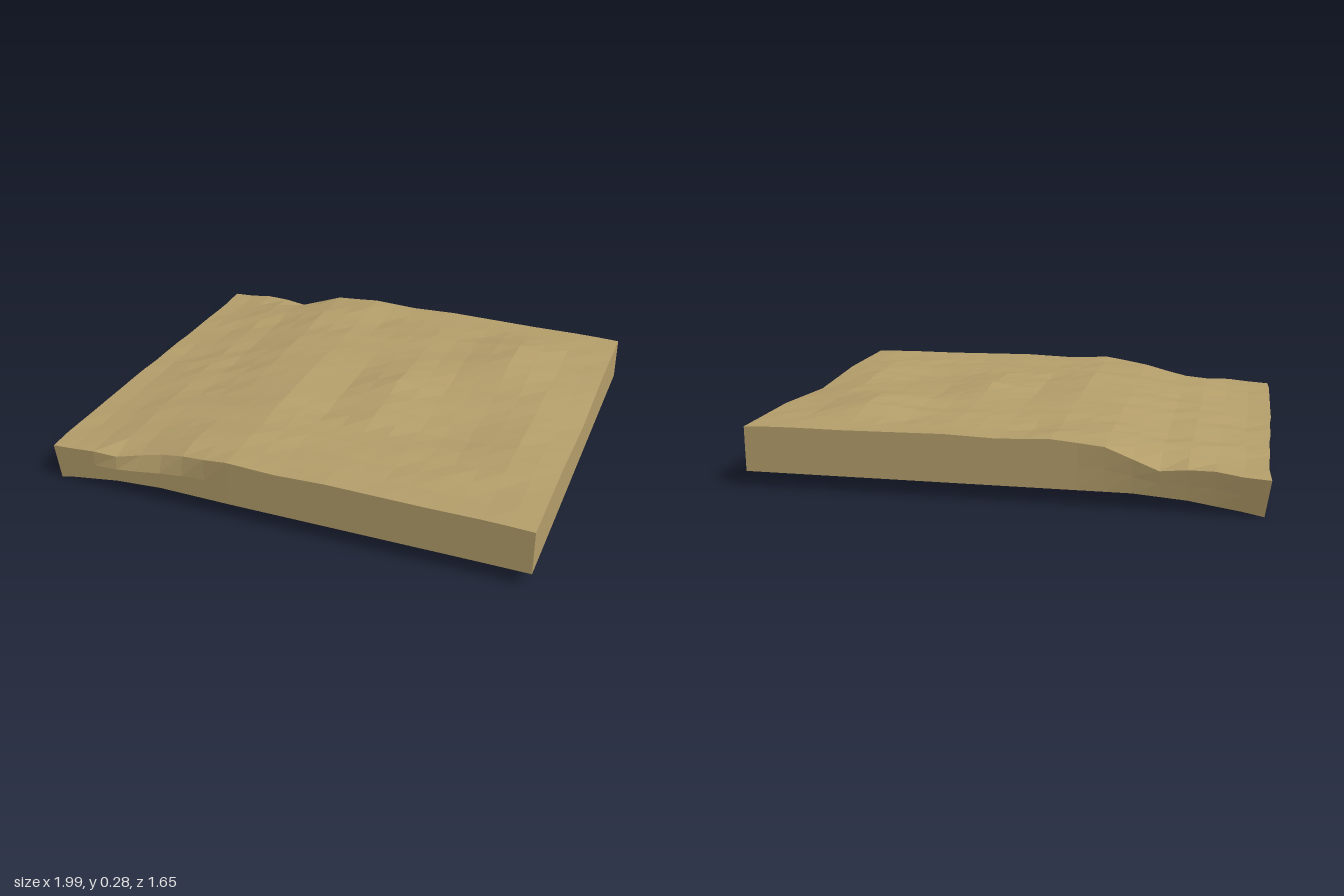
import * as THREE from 'three';

// Piecewise linear lookup through [position, value] pairs
function along(points, t) {
  if (t <= points[0][0]) return points[0][1];
  for (let i = 1; i < points.length; i++) {
    const [a, va] = points[i - 1], [b, vb] = points[i];
    if (t <= b) return va + (vb - va) * (t - a) / (b - a);
  }
  return points[points.length - 1][1];
}

// Repeatable noise in -1..1 for a lattice corner
function noise(i, j) {
  const s = Math.sin(i * 127.1 + j * 311.7 + 5.3) * 43758.5453;
  return (s - Math.floor(s)) * 2 - 1;
}

const TOP = [[-1, 0.145], [-0.86, 0.153], [-0.7, 0.185], [-0.6, 0.195], [-0.4, 0.23],
  [-0.2, 0.248], [0, 0.24], [0.2, 0.247], [0.6, 0.242], [0.85, 0.243], [1, 0.238]];
const BOTTOM = [[-1, 0], [-0.85, 0.022], [-0.7, 0.045], [-0.5, 0.06], [1, 0.06]];
// How far the rim sags below the surface at the front and back
const FRONT_SAG = [[-0.82, 0], [-0.7, 0.033], [-0.55, 0.02], [-0.2, 0]];
const BACK_SAG = [[-0.8, 0], [-0.6, 0.042], [-0.4, 0]];
const FRONT_NOTCH = [[-0.75, 0], [-0.55, 0.04], [-0.25, 0]];

// Mounds and hollows: x, z, radius in x, radius in z, height
const MOUNDS = [
  [0.6, -0.4, 0.25, 0.3, 0.042],
  [0.2, 0, 0.22, 0.22, 0.024],
  [1, 0, 0.2, 0.4, -0.025],
  [-0.2, 0.2, 0.2, 0.2, 0.012],
  [0.5, 0.3, 0.3, 0.15, -0.015],
  [-0.1, -0.6, 0.15, 0.15, -0.014],
];

function topHeight(x, z) {
  let y = along(TOP, x);
  for (const [mx, mz, rx, rz, h] of MOUNDS) {
    y += h * Math.max(0, 1 - Math.hypot((x - mx) / rx, (z - mz) / rz));
  }
  // Ripples, longer in x than in z, fading out at the rim
  const gx = x * 5, i = Math.floor(gx), j = Math.round(z * 10);
  const ripple = THREE.MathUtils.lerp(noise(i, j), noise(i + 1, j), gx - i);
  const fade = Math.min(1, (0.8 - Math.abs(z)) / 0.15, (1 - Math.abs(x)) / 0.15);
  y += ripple * 0.009 * Math.max(0, fade);
  if (z > 0.79) y -= along(FRONT_SAG, x);
  if (z < -0.79) y -= along(BACK_SAG, x);
  return y;
}

export function createModel() {
  const group = new THREE.Group();

  // Slab: a subdivided box whose vertices follow the terrain
  const geometry = new THREE.BoxGeometry(2, 1, 1.6, 20, 2, 16);
  const p = geometry.attributes.position;
  for (let k = 0; k < p.count; k++) {
    const x = p.getX(k), z = p.getZ(k), level = p.getY(k) + 0.5;
    const y = THREE.MathUtils.lerp(along(BOTTOM, x), topHeight(x, z), level);
    let px = x, pz = z;
    // Worn left side, leaning in at the bottom
    if (x < -0.99) px += 0.02 * (1 - level) + 0.008 * (1 + noise(3, Math.round(z * 5)));
    if (x > 0.99) px = 0.993;
    // Bulging front face with a notch in its upper edge
    if (z > 0.79) {
      pz = 0.813 + 0.007 * Math.max(0, 1 - Math.abs(x + 0.2));
      if (level > 0.9) pz -= along(FRONT_NOTCH, x);
    }
    // Back face flares out towards the left corner
    if (z < -0.79) pz -= 0.028 * level * Math.max(0, Math.min(1, (-0.3 - x) / 0.65));
    p.setXYZ(k, px, y, pz);
  }
  geometry.computeVertexNormals();

  const ground = new THREE.Mesh(geometry, new THREE.MeshStandardMaterial({
    color: 0xb39d6a, flatShading: true,
  }));
  ground.name = 'groundSlab';
  group.add(ground);
  return group;
}
